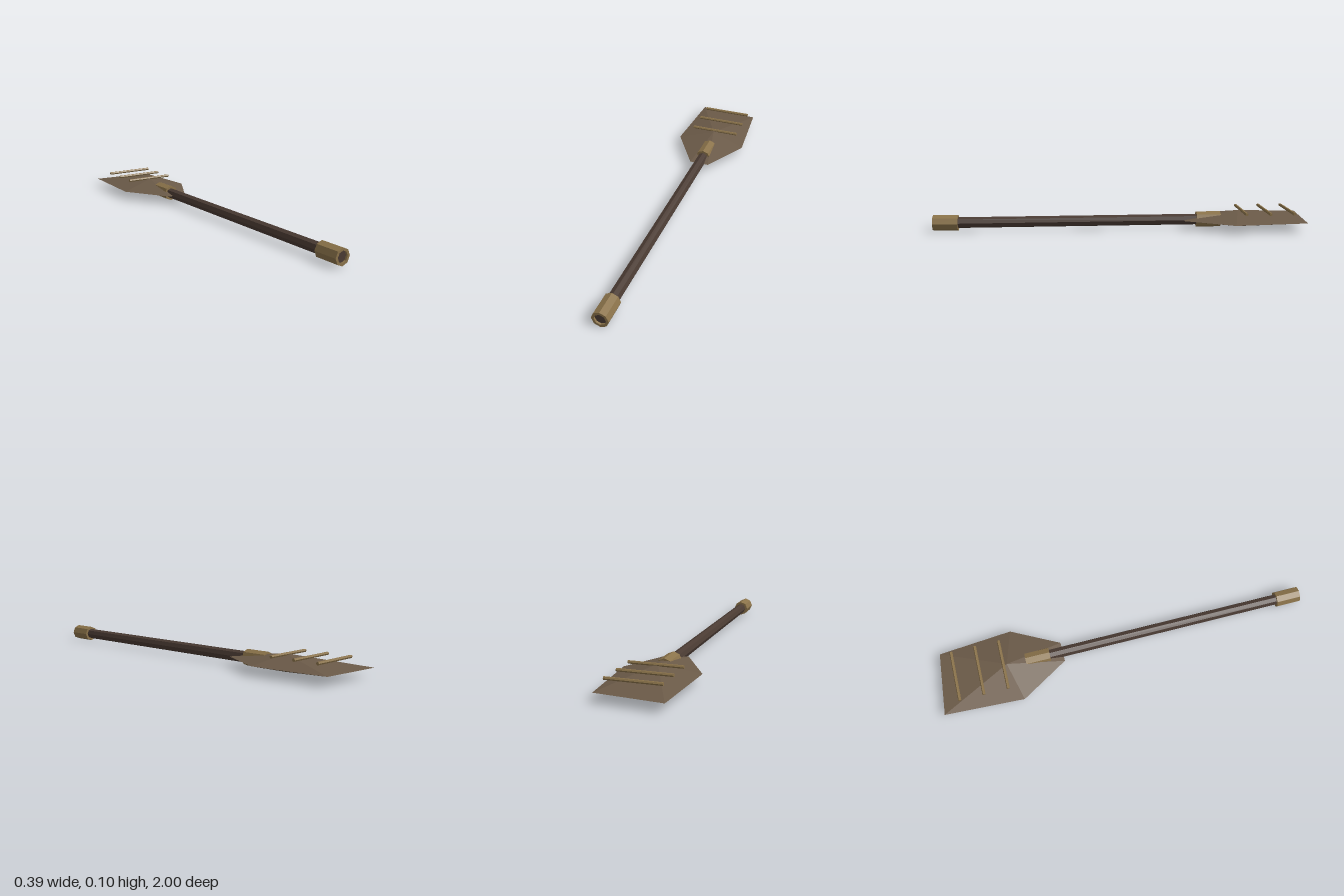
import * as THREE from 'three';

const AXIS_X = 0.008, AXIS_Y = 0.045;

const paint = (color) => new THREE.MeshStandardMaterial({ color, flatShading: true });

export function createModel() {
  const model = new THREE.Group();
  const wood = paint(0x4a3b33), brass = paint(0x8b734a), bladeWood = paint(0x6b5a48);

  const add = (name, geometry, material) => {
    const mesh = new THREE.Mesh(geometry, material);
    mesh.name = name;
    model.add(mesh);
    return mesh;
  };

  // Octagonal shaft running along z
  const shaftBack = -0.5, shaftFront = 0.99;
  const shaft = new THREE.CylinderGeometry(0.029, 0.029, shaftFront - shaftBack, 8);
  shaft.rotateX(Math.PI / 2);
  add('shaft', shaft, wood).position.set(AXIS_X, AXIS_Y, (shaftFront + shaftBack) / 2);

  // Hollow octagonal collars: pommel at the front, socket on the blade
  const collarProfile = [[0.029, -0.065], [0.042, -0.065], [0.042, 0.065], [0.029, 0.065], [0.029, -0.065]]
    .map(([r, y]) => new THREE.Vector2(r, y));
  const collar = new THREE.LatheGeometry(collarProfile, 8);
  collar.rotateX(Math.PI / 2);
  add('pommelCollar', collar, brass).position.set(AXIS_X, AXIS_Y, 0.935);
  add('bladeCollar', collar, brass).position.set(AXIS_X, AXIS_Y, -0.465);

  // Blade: sharp outline rising to one apex above and one below
  const outline = [[-0.175, -1], [0.16, -0.97], [0.193, -0.58], [0.06, -0.33], [-0.045, -0.33], [-0.197, -0.58]];
  const top = [0, 0.09, -0.63], bottom = [0, 0, -0.63];
  const corners = [];
  outline.forEach(([x, z], i) => {
    const [nx, nz] = outline[(i + 1) % outline.length];
    const a = [x, AXIS_Y, z], b = [nx, AXIS_Y, nz];
    corners.push(...top, ...b, ...a, ...bottom, ...a, ...b);
  });
  const blade = new THREE.BufferGeometry();
  blade.setAttribute('position', new THREE.Float32BufferAttribute(corners, 3));
  blade.computeVertexNormals();
  add('blade', blade, bladeWood);

  // Three thin bars across the top of the blade
  const bar = new THREE.CylinderGeometry(0.008, 0.008, 0.271, 6);
  bar.rotateZ(Math.PI / 2);
  [-0.648, -0.776, -0.903].forEach((z, i) => {
    add(`crossBar${i + 1}`, bar, brass).position.set(0.003, 0.091, z);
  });

  return model;
}
